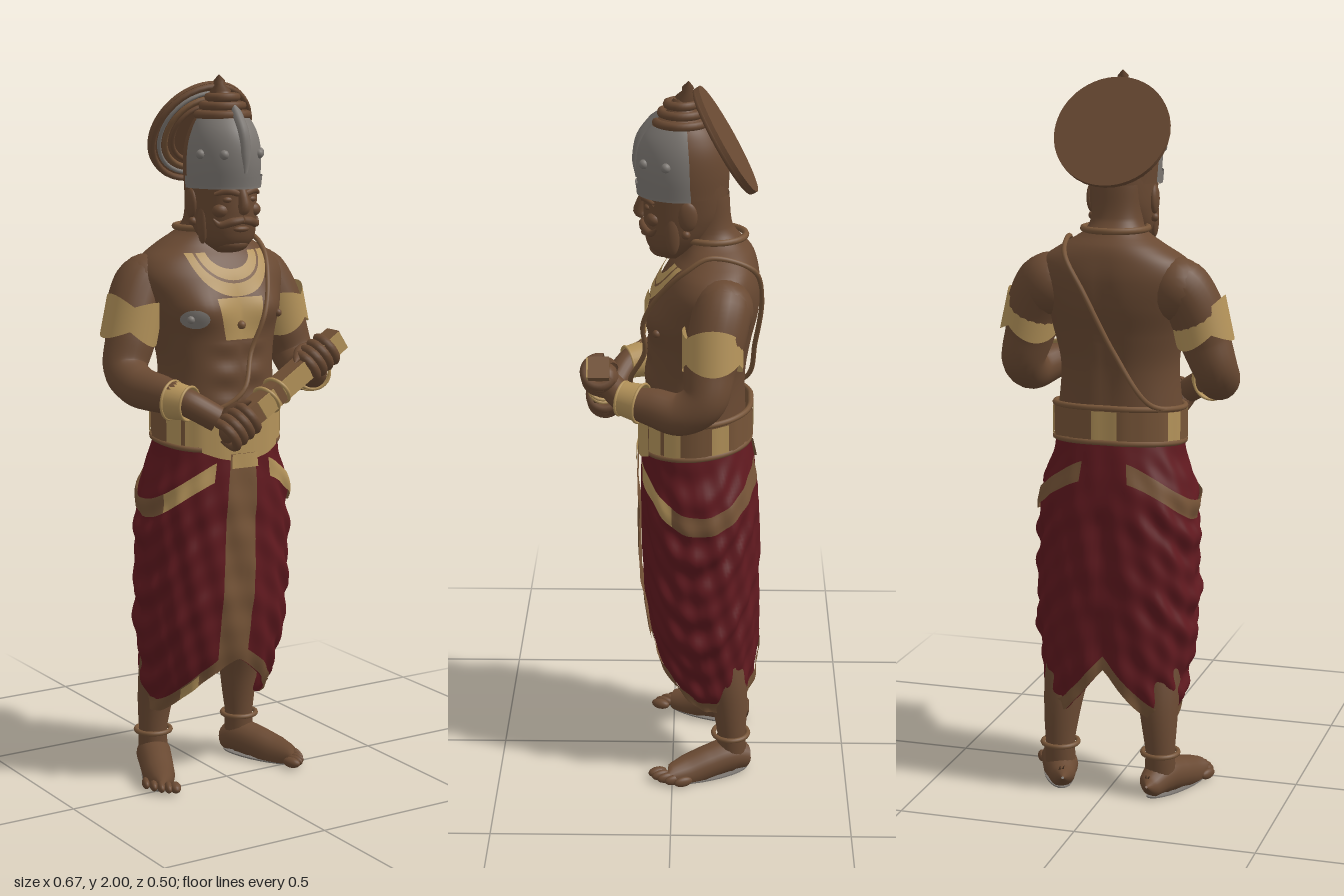
import * as THREE from 'three';
import { ParametricGeometry } from 'three/addons/geometries/ParametricGeometry.js';

const { sin, cos, abs, min, max, PI, sign } = Math;
const mat = (name, color) => {
  const m = new THREE.MeshStandardMaterial({ color, side: THREE.DoubleSide });
  m.name = name;
  return m;
};
const V = (x, y, z) => new THREE.Vector3(x, y, z);
const bell = (x, w) => Math.exp(-((x / w) ** 2));

// Smooth interpolation of column k in rows sorted by height
function at(R, y, k) {
  let i = 0;
  while (i < R.length - 2 && y > R[i + 1][0]) i++;
  const slope = j => {
    const a = R[max(j - 1, 0)], b = R[min(j + 1, R.length - 1)];
    return (b[k] - a[k]) / (b[0] - a[0]);
  };
  const h = R[i + 1][0] - R[i][0], t = min(1, max(0, (y - R[i][0]) / h));
  const t2 = t * t, t3 = t2 * t;
  return (2 * t3 - 3 * t2 + 1) * R[i][k] + (t3 - 2 * t2 + t) * h * slope(i)
    + (3 * t2 - 2 * t3) * R[i + 1][k] + (t3 - t2) * h * slope(i + 1);
}
// Upright body from rows [height, half width, front z, back z]; angle 0 is the front
const body = (R, e = 1, bump = () => 0) => (a, y, off = 0) => {
  const rx = at(R, y, 1) + off, zf = at(R, y, 2) + off, zb = at(R, y, 3) - off;
  const s = sign(sin(a)) * abs(sin(a)) ** e, c = sign(cos(a)) * abs(cos(a)) ** e;
  const b = bump(a, y, rx * s);
  return V((rx + b) * s, y, (zf + zb) / 2 + ((zf - zb) / 2 + b) * c);
};
const surf = (f, nu, nv) => new ParametricGeometry((u, v, t) => t.copy(f(u, v)), nu, nv);
const patch = (f, a0, a1, y0, y1, off, nu, nv) =>
  surf((u, v) => f(a0 + (a1 - a0) * u, y0 + (y1 - y0) * v, off), nu, nv);

// Round limb through points [x, y, z, radius]
function limb(P, sides = 16, n = 28, closed = false) {
  const curve = new THREE.CatmullRomCurve3(P.map(p => V(p[0], p[1], p[2])), closed);
  const g = new THREE.TubeGeometry(curve, n, 1, sides, closed), pos = g.attributes.position, v = V(0, 0, 0);
  for (let i = 0; i <= n; i++) {
    const c = curve.getPointAt(i / n), t = curve.getUtoTmapping(i / n) * (P.length - (closed ? 0 : 1));
    const k = min(P.length - 1, Math.floor(t)), r0 = P[k][3], r1 = P[(k + 1) % P.length][3];
    const r = r0 + (r1 - r0) * (t - k);
    for (let j = 0; j <= sides; j++) {
      const q = i * (sides + 1) + j;
      v.fromBufferAttribute(pos, q).sub(c).multiplyScalar(r).add(c);
      pos.setXYZ(q, v.x, v.y, v.z);
    }
  }
  return g;
}
const ball = (x, y, z, rx, ry = rx, rz = rx) => new THREE.SphereGeometry(1, 18, 12).scale(rx, ry, rz).translate(x, y, z);
const ring = (r, t, y, z = 0, sz = 1) => new THREE.TorusGeometry(r, t, 8, 36).rotateX(PI / 2).scale(1, 1, sz).translate(0, y, z);

export function createModel() {
  const root = new THREE.Group();
  const skin = mat('brown skin', 0x694932), gold = mat('gold', 0xb4935a), red = mat('dark red cloth', 0x60191f);
  const grey = mat('grey metal', 0x7d7873), trim = mat('tan trim', 0x775538);
  const add = (name, geo, m, parent = root) => {
    const o = new THREE.Mesh(geo, m);
    o.name = name;
    parent.add(o);
  };
  const group = (name, x, y, z, parent = root) => {
    const g = new THREE.Group();
    g.name = name;
    g.position.set(x, y, z);
    parent.add(g);
    return g;
  };

  // Torso with chest, belly and spine modelling
  const torsoRows = [[0.94, .172, .075, -.205], [1.05, .174, .08, -.204], [1.2, .163, .076, -.203], [1.3, .18, .066, -.218],
    [1.38, .204, .056, -.235], [1.45, .222, .036, -.238], [1.5, .2, .008, -.23], [1.54, .14, -.022, -.215],
    [1.575, .085, -.033, -.185], [1.61, .07, -.03, -.16], [1.7, .07, -.03, -.15]];
  const torso = body(torsoRows, .9, (a, y, x) => {
    const pec = bell(abs(x) - .1, .07) * bell(y - 1.365, .055);
    const abdomen = y < 1.28 ? .004 * sin((y - 1.0) * 75) * bell(abs(x) - .045, .04) : 0;
    const spine = cos(a) < 0 ? -.012 * bell(x, .035) * max(0, 1 - abs(y - 1.28) / .26) : 0;
    return max(0, cos(a)) * (.026 * pec + abdomen) + spine;
  });
  add('torso', patch(torso, -PI, PI, .94, 1.7, 0, 72, 70), skin);
  const chest = (x, y, off) => {
    const q = max(-1, min(1, x / at(torsoRows, y, 1)));
    return torso(Math.asin(sign(q) * abs(q) ** (1 / .9)), y, off);
  };

  // Layered collar, pendant and nipples
  [[.064, .045, .09, .075, gold], [.09, .075, .097, .083, trim], [.097, .083, .118, .118, gold]].forEach(([a0, b0, a1, b1, m]) =>
    add('collar', surf((u, v) => {
      const p = PI * (1 + u), a = a0 + (a1 - a0) * v, b = b0 + (b1 - b0) * v;
      return chest(a * cos(p), 1.52 + b * sin(p), .009);
    }, 36, 4), m));
  add('neckChain', ring(.088, .009, 1.582, -.108), trim);
  add('pendant', surf((u, v) => chest((u - .5) * (.09 + .04 * v), 1.285 + .115 * v, .009), 12, 8), gold);
  const stud = chest(0, 1.325, .012);
  add('pendantStud', ball(stud.x, stud.y, stud.z, .012), trim);
  for (const s of [-1, 1]) {
    const n = chest(s * .13, 1.345, .002);
    add('nipple', ball(n.x, n.y, n.z, .011), s < 0 ? grey : skin);
  }
  add('chestPatch', surf((u, v) => chest(-.12 + .034 * v * cos(u * 2 * PI), 1.345 + .026 * v * sin(u * 2 * PI), .003), 20, 3), grey);

  // Thread over the left shoulder and around the right hip
  const front = [[.135, 1.52], [.105, 1.44], [.065, 1.35], [.03, 1.25]].map(([x, y]) => chest(x, y, .008).toArray());
  add('shoulderThread', limb([[.135, 1.555, -.1], ...front, [-.02, 1.15, .12], [-.09, 1.1, .095], [-.183, 1.09, -.06],
    [-.12, 1.12, -.2], [-.03, 1.26, -.226], [.05, 1.42, -.24], [.11, 1.515, -.215]].map(p => [...p, .007]), 8, 110, true), trim);

  // Skirt with swagged folds, split hem, trim and hip bands
  const skirt = body([[.18, .17, -.04, -.2], [.25, .187, .005, -.236], [.3, .2, .03, -.243], [.37, .213, .052, -.247], [.47, .226, .072, -.25],
    [.6, .228, .084, -.25], [.75, .224, .088, -.246], [.86, .215, .09, -.24], [.95, .187, .088, -.224], [1.03, .172, .084, -.205]], .9, (a, y) => {
    const side = sin(a) ** 2, fade = min(1, (1.03 - y) * 4), sag = y + .2 * side + .02 * sin(2 * a);
    return fade * ((.004 * sin(70 * sag + sin(a)) + .004 * sin(43 * sag + 2.5 * cos(a))) * (.2 + side) + .003 * sin(a * 17 + y * 20)
      - .012 * bell(abs(a) - PI, .12));
  });
  const hem = a => .2 + .17 * (1 - abs(sin(a))) ** (1.35 - .45 * cos(a));
  add('skirt', surf((u, v) => {
    const a = (u * 2 - 1) * PI, h = hem(a);
    return skirt(a, h + (1.03 - h) * v);
  }, 120, 90), red);
  add('skirtHem', surf((u, v) => {
    const a = (u * 2 - 1) * PI;
    return skirt(a, hem(a) + .04 * v, .005);
  }, 100, 4), trim);
  add('frontPanel', surf((u, v) => {
    const a = -.2 - .06 * (1 - v) + u * (.36 - .02 * v);
    return skirt(a, hem(a) + (.97 - hem(a)) * v, .011);
  }, 12, 60), trim);
  add('frontPanelTop', surf((u, v) => skirt(-.18 + u * .34, .93 + .04 * v, .015), 10, 3), gold);
  for (const s of [-1, 1]) {
    const band = (a0, a1) => surf((u, v) => {
      const a = a0 + (a1 - a0) * u;
      return skirt(s * a, .81 + .13 * cos(a) ** 2 + .055 * (v - .5), .008);
    }, 30, 5);
    add('hipBandFront', band(.4, 1.15), gold);
    add('hipBand', band(1.15, 2.85), trim);
    add('hemPatch', surf((u, v) => skirt(s * (.5 + .3 * u), hem(.5 + .3 * u) + .035 * v, .008), 8, 3), s < 0 ? gold : trim);
  }

  // Belt of plates with a buckle
  const belt = (a, y, off) => skirt(a, .98, off - .004).setY(y - .015 * cos(a));
  add('belt', patch(belt, -PI, PI, .99, 1.095, .006, 60, 3), trim);
  for (const e of [.995, 1.09]) add('beltEdge', limb([...Array(24)].map((_, i) => {
    const p = belt(i * PI / 12, e, .004);
    return [p.x, p.y, p.z, .008];
  }), 8, 72, true), trim);
  for (let i = 0; i < 16; i++) {
    const a = i * PI / 8;
    add('beltPlate', patch(belt, a - .16, a + .16, 1.003, 1.082, .011, 6, 2), cos(a) > .3 || i % 3 === 2 ? gold : trim);
  }
  add('buckle', surf((u, v) => belt((u - .5) * 1.3, .99 + .1 * v - .025 * cos((u - .5) * PI) * (1 - v), .015), 20, 5), gold);

  // Head and face
  const head = body([[1.52, .028, .028, -.02], [1.545, .062, .062, -.055], [1.58, .08, .076, -.1], [1.63, .087, .08, -.135],
    [1.68, .09, .08, -.145], [1.76, .092, .08, -.145]], .9);
  add('head', patch(head, -PI, PI, 1.52, 1.76, 0, 40, 24), skin);
  add('chin', ball(0, 1.545, .025, .05, .025, .04), skin);
  add('nose', limb([[0, 1.7, .073, .012], [0, 1.67, .086, .014], [0, 1.645, .09, .018], [0, 1.632, .08, .01]], 12, 12), skin);
  add('lip', ball(0, 1.588, .074, .025, .009, .013), skin);
  for (const s of [-1, 1]) {
    add('moustache', limb([[0, 1.613, .083, .01], [s * .03, 1.608, .077, .012], [s * .058, 1.6, .058, .01], [s * .07, 1.615, .044, .003]], 10, 14), skin);
    add('eye', ball(s * .037, 1.668, .066, .016, .009, .011), skin);
    add('brow', limb([[s * .012, 1.684, .08, .008], [s * .04, 1.692, .074, .01], [s * .07, 1.683, .05, .005]], 8, 10), skin);
    add('cheek', ball(s * .05, 1.638, .05, .025, .02, .022), skin);
    add('ear', ball(s * .09, 1.655, -.04, .012, .04, .026), skin);
    add('earring', ball(s * .088, 1.605, -.035, .012), skin);
    add('sideburn', ball(s * .078, 1.6, 0, .012, .055, .02), skin);
  }

  // Helmet with grey front, brown back, jewels and tiers
  const helm = body([[1.7, .099, .092, -.148], [1.76, .103, .1, -.15], [1.81, .1, .098, -.145], [1.85, .09, .085, -.13],
    [1.885, .073, .058, -.105], [1.91, .05, .03, -.07], [1.92, .002, -.019, -.021]], 1.06);
  add('helmetFront', patch(helm, -1.75, 1.75, 1.7, 1.885, 0, 36, 24), grey);
  add('helmetBack', patch(helm, 1.75, 2 * PI - 1.75, 1.7, 1.885, 0, 30, 24), skin);
  add('helmetTop', patch(helm, -PI, PI, 1.885, 1.92, 0, 36, 8), skin);
  add('helmetRim', patch(helm, -1.75, 1.75, 1.697, 1.73, .006, 36, 4), grey);
  for (const a of [-1.2, -.6, .6, 1.2]) {
    const p = helm(a, 1.79);
    add('helmetJewel', ball(p.x, p.y, p.z, .013), grey);
  }
  add('helmetCrest', limb([[0, 1.74, .095, .006], [0, 1.79, .095, .016], [0, 1.85, .084, .016], [0, 1.9, .05, .014], [0, 1.925, .03, .003]], 10, 20), grey);
  [[.068, 1.893], [.054, 1.917], [.038, 1.94]].forEach(([r, y]) => add('crownTier', ring(r, .012, y, -.022), skin));
  add('crownCore', new THREE.CylinderGeometry(.022, .06, .07, 24).translate(0, 1.92, -.022), skin);
  add('finial', limb([[0, 1.93, -.03, .02], [0, 1.955, -.034, .03], [0, 1.972, -.037, .014], [0, 1.984, -.039, .016], [0, 2, -.04, .001]], 12, 20), skin);

  // Tilted disc behind the helmet
  const disc = group('haloDisc', 0, 1.842, -.142);
  disc.rotation.x = -1.044;
  add('discPlate', new THREE.CylinderGeometry(.159, .159, .012, 56), skin, disc);
  [[.15, .009, skin], [.13, .006, grey], [.112, .008, trim], [.09, .007, skin]].forEach(([r, t, m]) => add('discRing', ring(r, t, -.008), m, disc));

  // Arms with bands and bracelets
  for (const s of [-1, 1]) {
    const wy = s > 0 ? 1.18 : 1.135, hy = s > 0 ? 1.21 : 1.09, hx = s > 0 ? .165 : .135;
    add('arm', limb([[s * .15, 1.45, -.135, .06], [s * .19, 1.43, -.132, .08], [s * .228, 1.365, -.118, .078], [s * .25, 1.285, -.1, .07],
      [s * .275, 1.205, -.085, .061], [s * .27, 1.165, -.025, .058], [s * .24, (wy + 1.165) / 2, .05, .052],
      [s * .205, wy, .125, .038], [s * hx, hy, .17, .036]], 20, 60), skin);
    add('shoulder', ball(s * .18, 1.425, -.132, .084, .088, .085), skin);
    const band = group('armband', s * .24, 1.338, -.108);
    band.rotation.z = s * .22;
    add('armbandPlate', surf((u, v) => {
      const a = u * 2 * PI, scallop = abs(cos(1.5 * (a - s * PI / 2)));
      const y0 = -.035 - .03 * scallop, y1 = .033 + .025 * scallop;
      return V(.079 * sin(a), y0 + (y1 - y0) * v, .081 * cos(a));
    }, 48, 4), gold, band);
    const cuff = group('bracelet', s * .213, wy, .108);
    cuff.quaternion.setFromUnitVectors(V(0, 1, 0), V(-s * .42, s * .08, .9).normalize());
    add('cuff', new THREE.CylinderGeometry(.046, .053, .058, 24, 1, true), gold, cuff);
    for (const y of [-.028, .028]) add('cuffRim', ring(y > 0 ? .046 : .053, .004, y), gold, cuff);
  }

  // Squared staff held in both fists
  const staff = group('staff', .065, 1.172, .195);
  staff.rotation.z = .58;
  add('staffBar', new THREE.BoxGeometry(.415, .058, .056), trim, staff);
  for (const [x, w] of [[.165, .08], [.03, .11], [-.08, .06]])
    add('staffPlate', new THREE.BoxGeometry(w, .054, .006).translate(x, 0, .03), gold, staff);
  for (const x of [-.07, -.03]) add('staffCord', new THREE.TorusGeometry(.04, .005, 8, 24).rotateY(PI / 2 + .25).translate(x, 0, 0), gold, staff);
  for (const [x, s] of [[-.185, -1], [.12, 1]]) {
    const hand = group('hand', x, 0, 0, staff);
    add('palm', ball(0, -.012, -.018, .05, .042, .034), skin, hand);
    for (let i = 0; i < 4; i++)
      add('finger', new THREE.TorusGeometry(.039, .0135, 8, 20, 4.4).rotateZ(-2.6).rotateY(-PI / 2).translate(-.038 + i * .025, -.002, 0), skin, hand);
    add('thumb', limb([[s * .03, .01, -.035, .016], [-s * .02, .036, -.02, .015], [-s * .055, .038, .008, .011], [-s * .068, .036, .016, .002]], 10, 14), skin, hand);
  }

  // Legs, anklets and splayed feet
  for (const s of [-1, 1]) {
    add('leg', limb([[s * .11, .62, -.09, .09], [s * .125, .42, -.12, .075], [s * .14, .25, -.16, .055], [s * .147, .13, -.17, .041], [s * .147, .05, -.17, .044]], 18, 30), skin);
    const foot = group('foot', s * .147, 0, -.168);
    foot.rotation.y = s * .4;
    const g = limb([[0, .035, -.062, .004], [0, .035, -.05, .034], [0, .05, 0, .05], [0, .04, .07, .048], [0, .025, .135, .046], [0, .02, .18, .034], [0, .018, .195, .004]], 18, 36);
    const p = g.attributes.position;
    for (let i = 0; i < p.count; i++) p.setY(i, max(.003, p.getY(i)));
    add('footBody', g, skin, foot);
    for (let i = 0; i < 5; i++)
      add('toe', ball(s * (-.036 + i * .0195), .017, .213 - i * i * .003, i ? .0115 : .016, .015, .028), skin, foot);
    add('sole', new THREE.CylinderGeometry(1, 1, .004, 24).scale(.042, 1, .125).translate(0, .002, .072), grey, foot);
    const anklet = group('anklet', s * .147, .122, -.168);
    add('ankletRing', ring(.05, .007, 0), trim, anklet);
  }
  return root;
}
